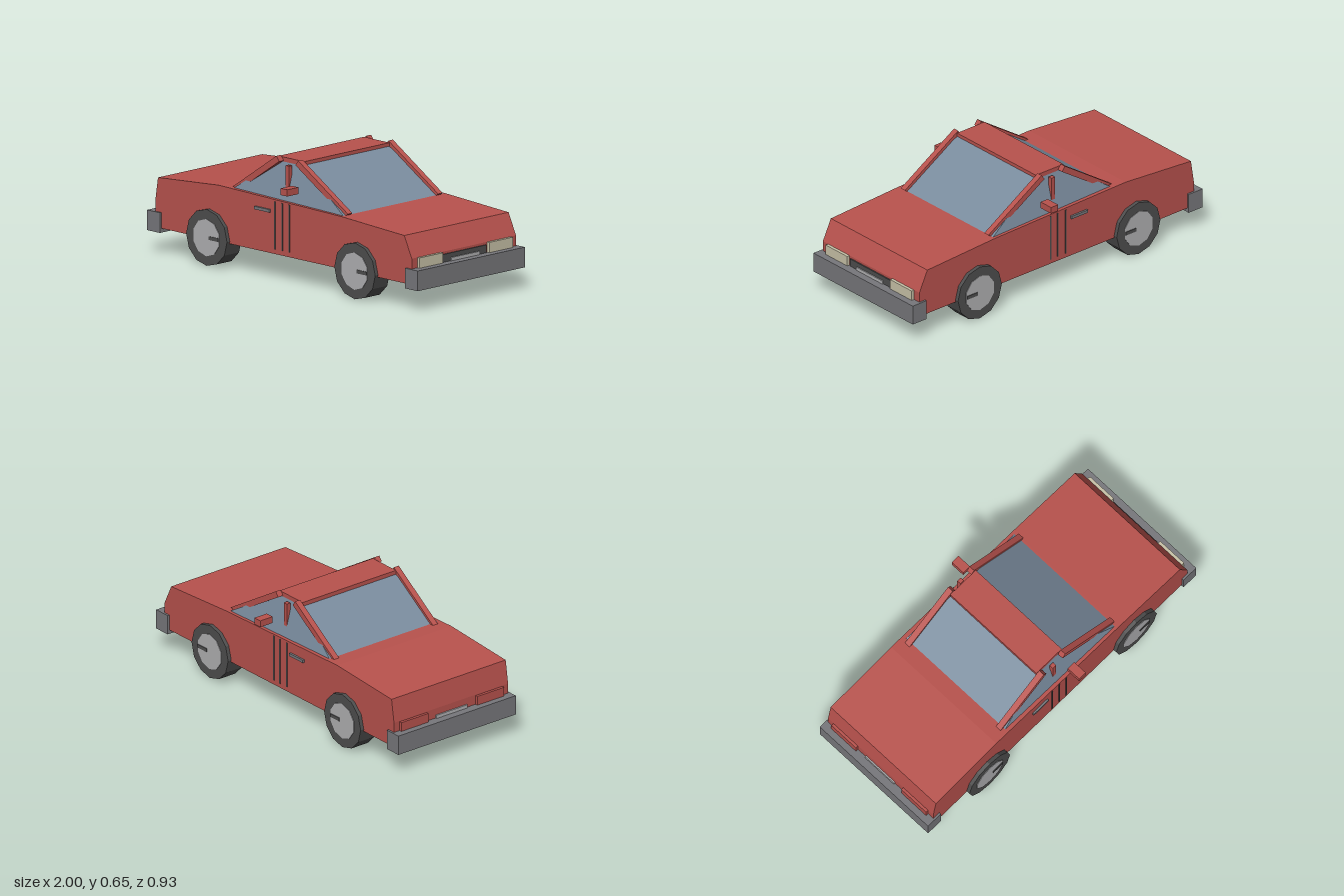
import * as THREE from 'three';

const mat = (name, color, flat = true) => {
  const m = new THREE.MeshStandardMaterial({ color, flatShading: flat });
  m.name = name;
  return m;
};

export function createModel() {
  const paint = mat('red paint', 0xb8524d);
  const glass = mat('blue grey glass', 0x7a8c9e);
  const steel = mat('bumper grey', 0x77777b);
  const rubber = mat('dark rubber', 0x4e4e4e);
  const silver = mat('silver', 0xb0b0b2);
  const lamp = mat('headlight cream', 0xc8c2a8);

  const car = new THREE.Group();
  car.name = 'car';

  const add = (name, geometry, material) => {
    const mesh = new THREE.Mesh(geometry, material);
    mesh.name = name;
    car.add(mesh);
    return mesh;
  };
  // Box given by its limits on each axis
  const box = (name, material, [x0, x1], [y0, y1], [z0, z1]) => {
    const g = new THREE.BoxGeometry(x1 - x0, y1 - y0, Math.abs(z1 - z0));
    g.translate((x0 + x1) / 2, (y0 + y1) / 2, (z0 + z1) / 2);
    return add(name, g, material);
  };
  // Side profile extruded across the car between two z values
  const slab = (name, material, points, z0, z1) => {
    const shape = new THREE.Shape(points.map(p => new THREE.Vector2(...p)));
    const g = new THREE.ExtrudeGeometry(shape, { depth: Math.abs(z1 - z0), bevelEnabled: false });
    g.translate(0, 0, Math.min(z0, z1));
    return add(name, g, material);
  };

  // Wedge-nosed lower body
  slab('body', paint, [
    [-0.95, 0.14], [0.945, 0.14], [0.945, 0.28], [0.89, 0.395],
    [0.43, 0.42], [-0.48, 0.44], [-0.93, 0.408], [-0.95, 0.28],
  ], -0.383, 0.383);

  // Glass cabin: a box narrowed towards the roof
  const cabin = new THREE.BoxGeometry(1, 1, 1);
  const p = cabin.attributes.position;
  for (let i = 0; i < p.count; i++) {
    const top = p.getY(i) > 0, front = p.getX(i) > 0;
    p.setXYZ(i,
      top ? (front ? 0.075 : -0.1) : (front ? 0.43 : -0.425),
      top ? 0.63 : 0.415,
      Math.sign(p.getZ(i)) * (top ? 0.31 : 0.367));
  }
  cabin.computeVertexNormals();
  add('cabinGlass', cabin, glass);
  box('roof', paint, [-0.11, 0.08], [0.622, 0.646], [-0.313, 0.313]);

  // Bumpers
  box('frontBumper', steel, [0.905, 1], [0.117, 0.225], [-0.394, 0.394]);
  box('rearBumper', steel, [-1, -0.905], [0.117, 0.225], [-0.394, 0.394]);

  // Grille and number plates
  box('grille', rubber, [0.93, 0.952], [0.2, 0.267], [-0.16, 0.16]);
  box('frontPlate', silver, [0.94, 0.958], [0.2, 0.243], [-0.105, 0.105]);
  box('rearPlate', silver, [-0.958, -0.94], [0.2, 0.243], [-0.105, 0.105]);

  for (const s of [1, -1]) {
    const side = s > 0 ? 'right' : 'left';
    const z = (a, b) => [s * a, s * b];

    // Roof pillars
    slab(side + 'FrontPillar', paint,
      [[0.41, 0.41], [0.438, 0.43], [0.07, 0.655], [0.05, 0.628]], ...z(0.315, 0.348));
    slab(side + 'RearPillar', paint,
      [[-0.39, 0.415], [-0.07, 0.628], [-0.09, 0.655], [-0.418, 0.435]], ...z(0.315, 0.348));
    box(side + 'MiddlePillar', paint, [-0.022, 0.003], [0.42, 0.615], z(0.325, 0.348));

    // Wing mirror, door handle and door seams
    box(side + 'Mirror', paint, [0.056, 0.105], [0.488, 0.524], z(0.38, 0.463));
    box(side + 'DoorHandle', steel, [-0.21, -0.098], [0.358, 0.374], z(0.375, 0.394));
    for (const x of [-0.065, -0.01, 0.04])
      box(side + 'DoorSeam', rubber, [x - 0.004, x + 0.004], [0.165, 0.42], z(0.378, 0.386));

    // Lights
    box(side + 'Headlight', lamp, [0.92, 0.962], [0.21, 0.28], z(0.17, 0.342));
    box(side + 'TailLight', paint, [-0.965, -0.93], [0.21, 0.275], z(0.165, 0.345));

    // Wheels: twelve-sided tyre, hubcap and a small spoke
    for (const [end, x] of [['Rear', -0.55], ['Front', 0.545]]) {
      const disc = (name, r, sides, material, a, b) => {
        const g = new THREE.CylinderGeometry(r, r, b - a, sides);
        g.rotateX(Math.PI / 2).translate(x, 0.152, s * (a + b) / 2);
        add(side + end + name, g, material);
      };
      disc('Tyre', 0.151, 12, rubber, 0.296, 0.404);
      disc('Hubcap', 0.1, 10, silver, 0.39, 0.407);
      box(side + end + 'Spoke', rubber, [x + 0.02, x + 0.092], [0.144, 0.163], z(0.4, 0.411));
    }
  }
  return car;
}
